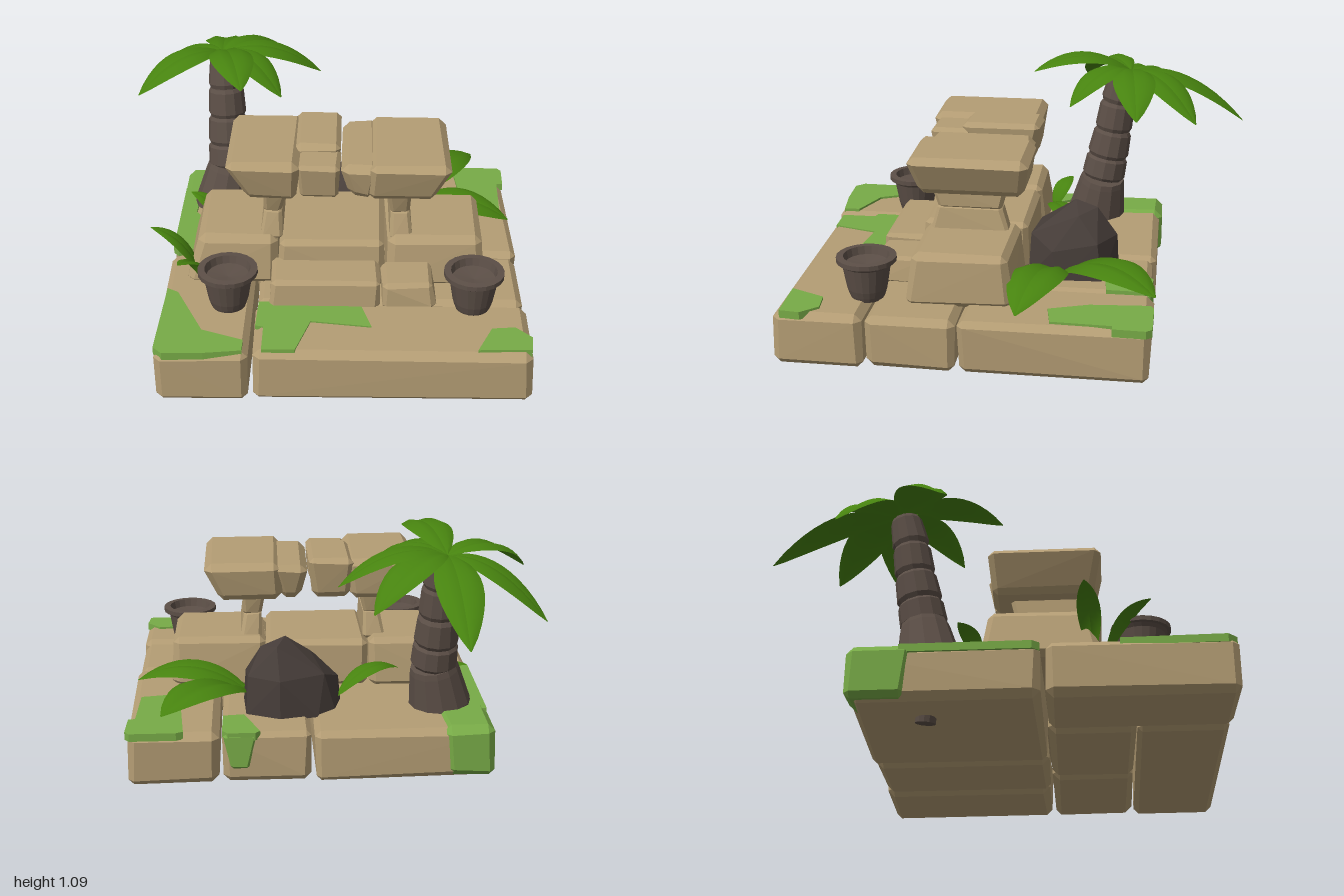
import * as THREE from 'three';
import { ConvexGeometry } from 'three/addons/geometries/ConvexGeometry.js';

const mat = (name, color, extra = {}) => Object.assign(new THREE.MeshStandardMaterial({ color, ...extra }), { name });
const V = (x, y, z) => new THREE.Vector3(x, y, z);

export function createModel() {
  const model = new THREE.Group();
  model.name = 'jungleRuin';
  const sand = mat('sandstone', 0xb49d74);
  const moss = mat('moss', 0x78ab47);
  const leafGreen = mat('leafGreen', 0x47830f);
  leafGreen.side = THREE.DoubleSide;
  const bark = mat('barkBrown', 0x5c4f47);
  const stone = mat('darkStone', 0x463d39);

  let seed = 7;
  const rnd = () => { seed = (seed * 16807) % 2147483647; return seed / 2147483647 - 0.5; };

  const add = (name, geometry, material, parent = model) => {
    const m = new THREE.Mesh(geometry, material);
    m.name = name;
    parent.add(m);
    return m;
  };

  // Chiselled block: chamfered hull between a bottom and a top rectangle [x0, x1, z0, z1]
  function block(name, y0, y1, bottom, top = bottom, bevel = 0.028, rough = 0.012, material = sand) {
    const pts = [];
    [[y0, bottom, 1], [y1, top, -1]].forEach(([y, r, sy]) => {
      for (const i of [0, 1]) for (const j of [0, 1]) {
        const sx = i ? -1 : 1, sz = j ? -1 : 1;
        const b = bevel * (1 + rnd() * 0.5);
        const x = r[i] + rnd() * rough, z = r[2 + j] + rnd() * rough;
        pts.push(V(x, y + sy * b, z + sz * b), V(x + sx * b, y + sy * b, z), V(x + sx * b, y, z + sz * b));
      }
    });
    return add(name, new ConvexGeometry(pts), material);
  }

  // Foundation
  block('frontSlab', 0.02, 0.26, [-0.29, 0.885, 0.585, 0.975]);
  block('frontLeftSlab', 0.02, 0.26, [-0.7, -0.305, 0.2, 0.99]);
  block('middleLeftSlab', 0.02, 0.25, [-0.29, 0.29, 0.2, 0.575]);
  block('middleRightSlab', 0.02, 0.255, [0.3, 0.88, 0.195, 0.575]);
  block('backLeftSlab', 0.02, 0.25, [-0.7, 0.07, -0.61, 0.185]);
  block('backMiddleSlab', 0.02, 0.25, [0.085, 0.47, -0.6, 0.185]);
  block('backRightSlab', 0.02, 0.26, [0.485, 0.88, -0.62, 0.18]);

  // Steps and platform
  block('wideStep', 0.24, 0.38, [-0.235, 0.25, 0.4, 0.635], [-0.225, 0.25, 0.4, 0.62], 0.02);
  block('narrowStep', 0.24, 0.365, [0.257, 0.49, 0.4, 0.62], [0.257, 0.48, 0.4, 0.61], 0.02);
  block('platformMiddle', 0.24, 0.47, [-0.205, 0.27, -0.05, 0.45], [-0.2, 0.27, -0.04, 0.43]);
  block('platformRight', 0.24, 0.48, [0.28, 0.72, -0.03, 0.44], [0.28, 0.7, -0.01, 0.41]);
  block('platformLeft', 0.24, 0.475, [-0.61, -0.21, -0.07, 0.43], [-0.56, -0.21, -0.05, 0.41]);

  // Waisted pillars
  [[-0.285, -0.185, 0.02], [0.29, 0.395, -0.015]].forEach(([a, b, lean]) => {
    const waist = [a + 0.01 + lean / 2, b - 0.01 + lean / 2, 0.06, 0.35];
    block('pillarFoot', 0.45, 0.585, [a, b, 0.03, 0.38], waist, 0.014, 0.006);
    block('pillarHead', 0.565, 0.69, waist, [a + lean, b + lean, 0.04, 0.38], 0.014, 0.006);
  });

  // Roof slabs, wider at the top
  block('roofLeft', 0.67, 0.86, [-0.345, -0.115, -0.04, 0.42], [-0.425, -0.105, -0.06, 0.45]);
  block('roofLeftInner', 0.675, 0.87, [-0.12, 0.06, -0.04, 0.27], [-0.13, 0.07, -0.07, 0.29]);
  block('roofLeftChip', 0.68, 0.84, [-0.11, 0.06, 0.24, 0.41], [-0.115, 0.07, 0.24, 0.43], 0.018);
  block('roofRightInner', 0.67, 0.835, [0.1, 0.21, -0.03, 0.4], [0.08, 0.24, -0.06, 0.42]);
  block('roofRight', 0.67, 0.85, [0.19, 0.49, -0.05, 0.42], [0.2, 0.55, -0.07, 0.45]);

  // Moss patches lying over the slab edges; outlines are x, z pairs
  function patch(outline, top = 0.27, depth = 0.035) {
    const shape = new THREE.Shape(outline.map(([x, z]) => new THREE.Vector2(x, -z)));
    const g = new THREE.ExtrudeGeometry(shape, { depth, bevelEnabled: false });
    g.rotateX(-Math.PI / 2).translate(0, top - depth, 0);
    add('mossPatch', g, moss);
  }
  patch([[-0.69, 0.51], [-0.64, 0.54], [-0.51, 0.82], [-0.33, 0.89], [-0.33, 0.965], [-0.49, 0.985], [-0.66, 0.99], [-0.7, 0.95]]);
  patch([[-0.28, 0.6], [0.16, 0.6], [0.21, 0.78], [-0.05, 0.745], [-0.11, 0.95], [-0.25, 0.95], [-0.25, 0.79], [-0.285, 0.78]], 0.266, 0.02);
  patch([[0.72, 0.79], [0.82, 0.78], [0.885, 0.85], [0.875, 0.94], [0.65, 0.945]]);
  patch([[0.64, -0.61], [0.67, -0.625], [0.87, -0.625], [0.89, -0.6], [0.885, -0.46], [0.855, -0.46], [0.845, -0.2], [0.72, -0.18], [0.66, -0.35]]);
  patch([[0.31, -0.59], [0.33, -0.61], [0.45, -0.61], [0.475, -0.58], [0.472, -0.41], [0.38, -0.4]], 0.257);
  patch([[-0.705, -0.4], [-0.62, -0.4], [-0.63, -0.17], [-0.57, -0.09], [-0.6, 0.17], [-0.68, 0.18], [-0.705, 0.15]], 0.262);
  block('mossBackDrape', 0.09, 0.245, [0.36, 0.44, -0.615, -0.55], [0.33, 0.47, -0.61, -0.55], 0.01, 0.004, moss);
  block('mossCorner', 0.03, 0.264, [-0.712, -0.5, -0.622, -0.37], [-0.712, -0.48, -0.622, -0.34], 0.03, 0.004, moss);

  // Boulder
  add('boulder', new ConvexGeometry([
    V(-0.06, 0.24, -0.22), V(-0.03, 0.24, -0.34), V(0.05, 0.24, -0.41), V(0.22, 0.24, -0.45), V(0.37, 0.24, -0.38),
    V(0.38, 0.24, -0.19), V(0.33, 0.24, -0.05), V(0.04, 0.24, -0.04), V(-0.05, 0.36, -0.21), V(0.02, 0.42, -0.35),
    V(0.22, 0.42, -0.44), V(0.36, 0.42, -0.36), V(0.37, 0.38, -0.16), V(0.3, 0.44, -0.06), V(0.05, 0.42, -0.08),
    V(0.19, 0.57, -0.25), V(0.3, 0.53, -0.27), V(0.23, 0.55, -0.35), V(0.08, 0.49, -0.22)]), stone);

  // Pots
  const potProfile = [[0, 0.25], [0.07, 0.25], [0.078, 0.27], [0.087, 0.3], [0.105, 0.405], [0.115, 0.42], [0.13, 0.422],
    [0.13, 0.443], [0.1, 0.445], [0.092, 0.41], [0, 0.4]].map(([r, y]) => new THREE.Vector2(r, y));
  for (const x of [-0.41, 0.65]) {
    const g = new THREE.LatheGeometry(potProfile, 20).toNonIndexed();
    g.computeVertexNormals();
    add('pot', g, bark).position.set(x, 0, 0.61);
  }

  // Palm trunk: bulged rings stacked along a leaning line [x, y, z, radius]
  const palm = new THREE.Group();
  palm.name = 'palm';
  model.add(palm);
  const rings = [[-0.47, 0, -0.31, 0.045], [-0.51, 0.23, -0.29, 0.14], [-0.47, 0.45, -0.325, 0.105], [-0.475, 0.56, -0.345, 0.1],
    [-0.48, 0.695, -0.37, 0.09], [-0.485, 0.835, -0.39, 0.083], [-0.49, 0.98, -0.42, 0.068]];
  for (let i = 0; i < rings.length - 1; i++) {
    const [ax, ay, az, ar] = rings[i], [bx, by, bz, br] = rings[i + 1];
    const a = V(ax, ay, az), d = V(bx, by, bz).sub(a), h = d.length();
    const k = i > 1 ? 0.9 : 1;
    const profile = [[0, 0], [ar * k, 0], [ar, h * 0.14], [br + (ar - br) * 0.2, h * 0.88], [br * k, h], [0, h]]
      .map(([r, y]) => new THREE.Vector2(r, y));
    const g = new THREE.LatheGeometry(profile, 12).toNonIndexed();
    g.computeVertexNormals();
    const m = add(i < 2 ? 'trunkFoot' : 'trunkRing', g, bark, palm);
    m.position.copy(a);
    m.quaternion.setFromUnitVectors(V(0, 1, 0), d.normalize());
  }

  // Arched leaf: two curved halves meeting in a midrib groove
  function leaf(name, from, to, half, lift, parent = model, pull = 0.5) {
    const p0 = V(...from), p1 = V(...to);
    const ctrl = p0.clone().lerp(p1, pull);
    ctrl.y = (p0.y + p1.y) / 2 + lift;
    const curve = new THREE.QuadraticBezierCurve3(p0, ctrl, p1);
    const side = V(-(p1.z - p0.z), 0, p1.x - p0.x).normalize();
    const N = 12, pos = [], idx = [];
    for (const s of [-1, 1]) {
      const start = pos.length / 3;
      for (let i = 0; i <= N; i++) {
        const t = i / N;
        const c = curve.getPoint(t);
        const up = side.clone().cross(curve.getTangent(t)).normalize();
        const w = half * Math.max(0.03, Math.pow(Math.sin(Math.PI * Math.min(1, t)), 0.75));
        [[0, 0], [0.5, 0.1], [1, -0.12]].forEach(([u, v]) => {
          const p = c.clone().addScaledVector(side, s * u * w).addScaledVector(up, v * w);
          pos.push(p.x, p.y, p.z);
        });
        if (i < N) for (const j of [0, 1]) {
          const a = start + i * 3 + j, b = a + 1, e = a + 3, f = a + 4;
          if (s > 0) idx.push(a, b, e, b, f, e);
          else idx.push(a, e, b, b, e, f);
        }
      }
    }
    const g = new THREE.BufferGeometry();
    g.setAttribute('position', new THREE.Float32BufferAttribute(pos, 3));
    g.setIndex(idx);
    g.computeVertexNormals();
    add(name, g, leafGreen, parent);
  }

  // Palm crown
  [[-0.52, 0.75, -1, 0.1], [-0.9, 0.75, -0.65, 0.1], [-0.88, 0.87, -0.21, 0.1], [-0.38, 1, 0.01, 0.1],
    [-0.21, 0.88, -0.18, 0.09], [-0.03, 0.87, -0.5, 0.1], [-0.16, 0.83, -0.77, 0.1]]
    .forEach(([x, y, z, w]) => leaf('palmLeaf', [-0.5, 0.99, -0.45], [x, y, z], w, 0.15, palm));

  // Broad plant behind the ruin
  leaf('broadLeaf', [0.35, 0.27, -0.2], [0.73, 0.35, -0.63], 0.125, 0.19);
  leaf('broadLeaf', [0.34, 0.27, -0.19], [0.87, 0.3, -0.06], 0.12, 0.2);
  leaf('broadLeaf', [-0.04, 0.27, -0.25], [-0.34, 0.34, -0.07], 0.06, 0.14);

  // Grass blades along the left side
  leaf('grassBlade', [-0.54, 0.25, 0.4], [-0.77, 0.5, 0.37], 0.05, 0.1, model, 0.3);
  leaf('grassBlade', [-0.52, 0.25, 0.45], [-0.62, 0.48, 0.65], 0.05, 0.1, model, 0.3);
  leaf('grassBlade', [-0.5, 0.25, -0.08], [-0.65, 0.38, -0.16], 0.045, 0.08, model, 0.3);

  return model;
}
